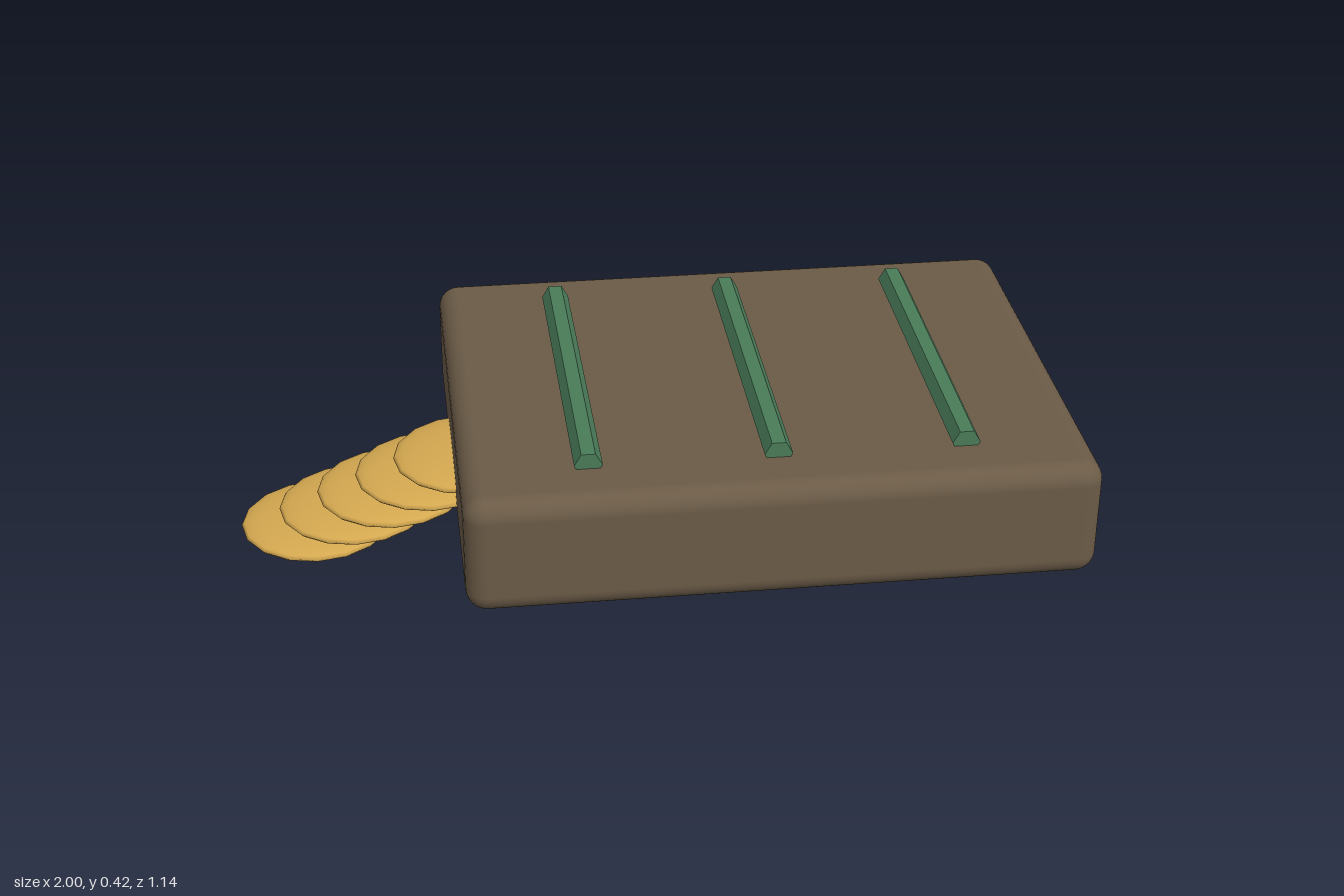
import * as THREE from 'three';
import { RoundedBoxGeometry } from 'three/addons/geometries/RoundedBoxGeometry.js';

function material(name, color) {
  const m = new THREE.MeshStandardMaterial({ color });
  m.name = name;
  return m;
}

export function createModel() {
  const group = new THREE.Group();
  const brown = material('shellBrown', 0x6b5b47);
  const green = material('ridgeGreen', 0x4a7c59);
  const gold = material('tailGold', 0xd4a850);
  green.flatShading = true;

  const add = (name, geometry, mat, x, y, z) => {
    const mesh = new THREE.Mesh(geometry, mat);
    mesh.name = name;
    mesh.position.set(x, y, z);
    group.add(mesh);
    return mesh;
  };

  // Rounded slab body
  add('body', new RoundedBoxGeometry(1.475, 0.294, 1.14, 4, 0.05), brown, 0.2625, 0.241, 0);

  // Three hexagonal ridges lying along z, flat side up
  const ridge = new THREE.CylinderGeometry(0.033, 0.033, 0.86, 6);
  ridge.rotateY(Math.PI / 2).rotateX(Math.PI / 2);
  [-0.18, 0.26, 0.7].forEach((x, i) => add(`ridge${i + 1}`, ridge, green, x, 0.397, 0));

  // Overlapping flattened discs stepping down to the tail tip
  const disc = new THREE.SphereGeometry(0.185, 16, 12);
  disc.scale(1, 0.15, 1);
  for (let i = 0; i < 5; i++) {
    add(`tailDisc${i + 1}`, disc, gold, -0.435 - i * 0.095, 0.195 - i * 0.041, 0);
  }

  return group;
}
